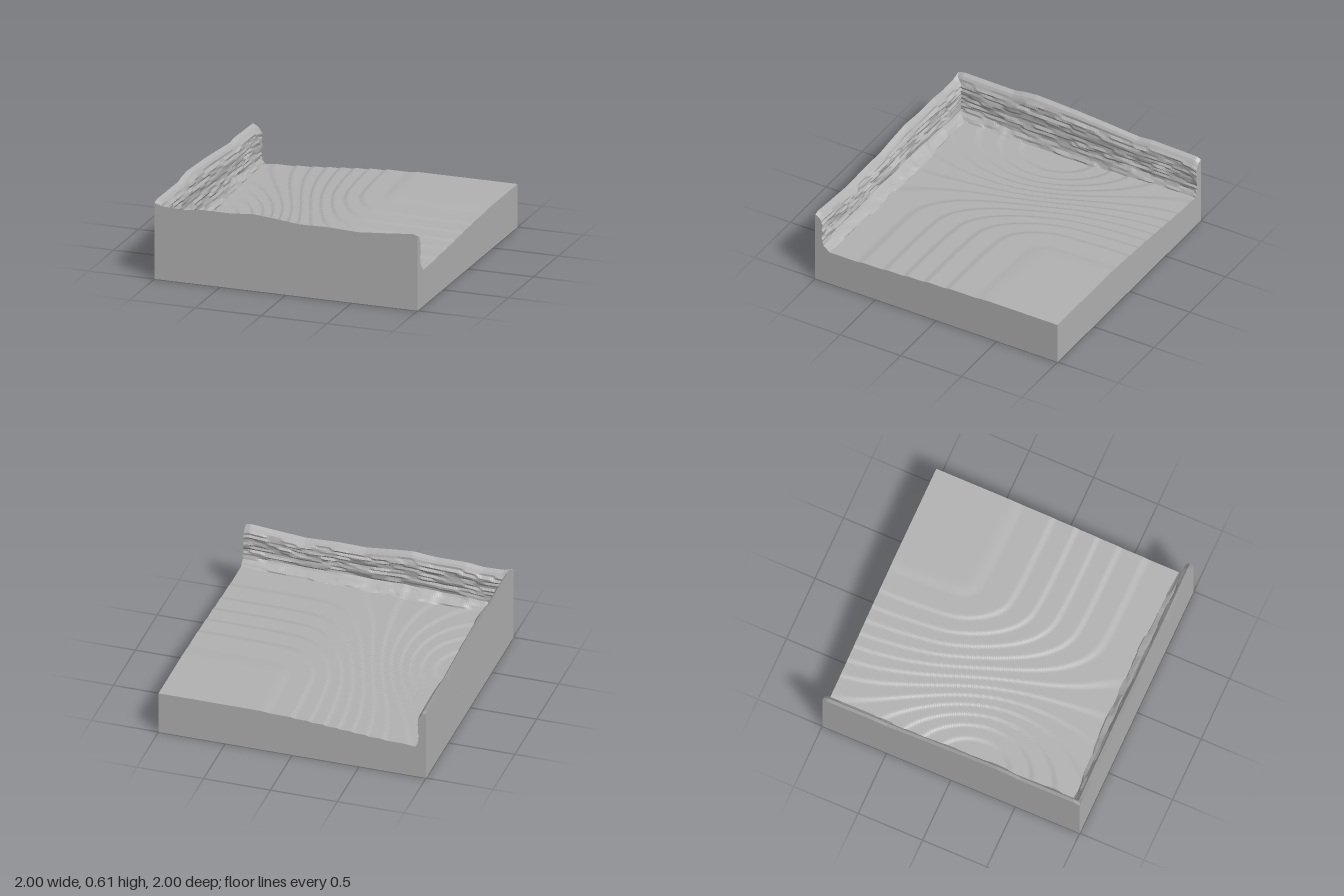
import * as THREE from 'three';

const stone = new THREE.MeshStandardMaterial({ color: 0xb2b2b2, flatShading: true, side: THREE.DoubleSide });
stone.name = 'stone grey';

const smooth = (a, b, v) => {
  const t = Math.min(1, Math.max(0, (v - a) / (b - a)));
  return t * t * (3 - 2 * t);
};
const hash = (a, b) => {
  const s = Math.sin(a * 127.1 + b * 311.7) * 43758.5453;
  return s - Math.floor(s);
};
// Value interpolated along a list of [position, height] pairs
const along = (pts, t) => {
  let i = 0;
  while (i < pts.length - 2 && t > pts[i + 1][0]) i++;
  const [a, ya] = pts[i], [b, yb] = pts[i + 1];
  return ya + (yb - ya) * Math.min(1, Math.max(0, (t - a) / (b - a)));
};

// Ground height: level plateau, sloping to the front, with a hollow by the side wall
function groundHeight(x, z) {
  const side = smooth(0.3, -1, x), front = smooth(-0.5, 0.95, z);
  const hollow = Math.exp(-((x + 0.85) ** 2 + (z - 0.1) ** 2) / 0.35);
  const h = 0.32 - 0.07 * side - 0.05 * front * (1 - 0.9 * side) - 0.04 * hollow;
  const step = 0.0085; // terraces
  const k = h / step, base = Math.floor(k);
  return step * (base + smooth(0.35, 0.65, k - base));
}

// Block whose top follows the terraced ground
function makeGround() {
  const geo = new THREE.BoxGeometry(2, 1, 2, 140, 1, 140);
  const p = geo.attributes.position;
  for (let i = 0; i < p.count; i++) {
    p.setY(i, p.getY(i) > 0 ? groundHeight(p.getX(i), p.getZ(i)) : 0);
  }
  geo.computeVertexNormals();
  const mesh = new THREE.Mesh(geo, stone);
  mesh.name = 'terracedGround';
  return mesh;
}

// Rough layered wall: cross-sections lofted along t; place(t, depth, y) sets the direction
function makeWall(name, crest, foot, place, seed) {
  const N = 150, ROWS = 20, pos = [], idx = [];
  for (let i = 0; i <= N; i++) {
    const t = -1 + 2 * i / N;
    const top = along(crest, t);
    const [ox, , oz] = place(t, 0, 0);
    pos.push(...place(t, 0, groundHeight(ox, oz)));
    for (let r = 0; r <= ROWS; r++) {
      const q = r / ROWS;
      // rounded crest, upright face, spreading foot
      let d = 0.058 * Math.sqrt(Math.min(1, q / 0.2)) + foot(t) * smooth(0.8, 1, q);
      // uneven ledges, each layer broken at its own spacing
      const u = t * (5 + 5 * hash(r, seed)) + hash(r, seed + 3) * 9;
      const f = Math.floor(u), w = smooth(0.3, 0.7, u - f);
      const rough = hash(f, r + seed) * (1 - w) + hash(f + 1, r + seed) * w;
      if (r > 2) d += (rough - 0.6) * 0.018;
      const [gx, , gz] = place(t, d, 0);
      const low = groundHeight(gx, gz) - 0.004;
      pos.push(...place(t, d, top + (low - top) * q));
    }
  }
  const M = ROWS + 2;
  for (let i = 0; i < N; i++) {
    for (let r = 0; r < M - 1; r++) {
      const a = i * M + r, b = a + M;
      idx.push(a, b, a + 1, b, b + 1, a + 1);
    }
  }
  // end caps
  for (let r = 1; r < M - 1; r++) {
    idx.push(0, r, r + 1, N * M, N * M + r + 1, N * M + r);
  }
  const geo = new THREE.BufferGeometry();
  geo.setAttribute('position', new THREE.Float32BufferAttribute(pos, 3));
  // keep triangles facing outwards when the wall runs along z
  if (place(0, 0, 0)[0] !== 0) {
    for (let i = 0; i < idx.length; i += 3) [idx[i], idx[i + 1]] = [idx[i + 1], idx[i]];
  }
  geo.setIndex(idx);
  geo.computeVertexNormals();
  const mesh = new THREE.Mesh(geo, stone);
  mesh.name = name;
  return mesh;
}

export function createModel() {
  const model = new THREE.Group();
  model.name = 'terrainBlock';
  model.add(makeGround());

  const frontCrest = [[-1, 0.57], [-0.93, 0.55], [-0.78, 0.545], [-0.65, 0.56], [-0.42, 0.56], [-0.25, 0.575],
    [-0.08, 0.56], [0.1, 0.54], [0.3, 0.545], [0.55, 0.535], [0.8, 0.555], [0.96, 0.57], [1, 0.56]];
  model.add(makeWall('frontWall', frontCrest, t => 0.05 + 0.04 * Math.cos((t - 0.1) * 1.5),
    (t, d, y) => [t, y, 1 - d], 1));

  const sideCrest = [[-1, 0.535], [-0.97, 0.55], [-0.6, 0.56], [-0.5, 0.55], [-0.2, 0.575], [0, 0.59],
    [0.2, 0.6], [0.35, 0.607], [0.45, 0.597], [0.53, 0.58], [0.95, 0.585], [1, 0.57]];
  model.add(makeWall('sideWall', sideCrest, t => 0.025 + 0.025 * smooth(0.2, 0.9, t),
    (t, d, y) => [-1 + d, y, t], 7));
  return model;
}
